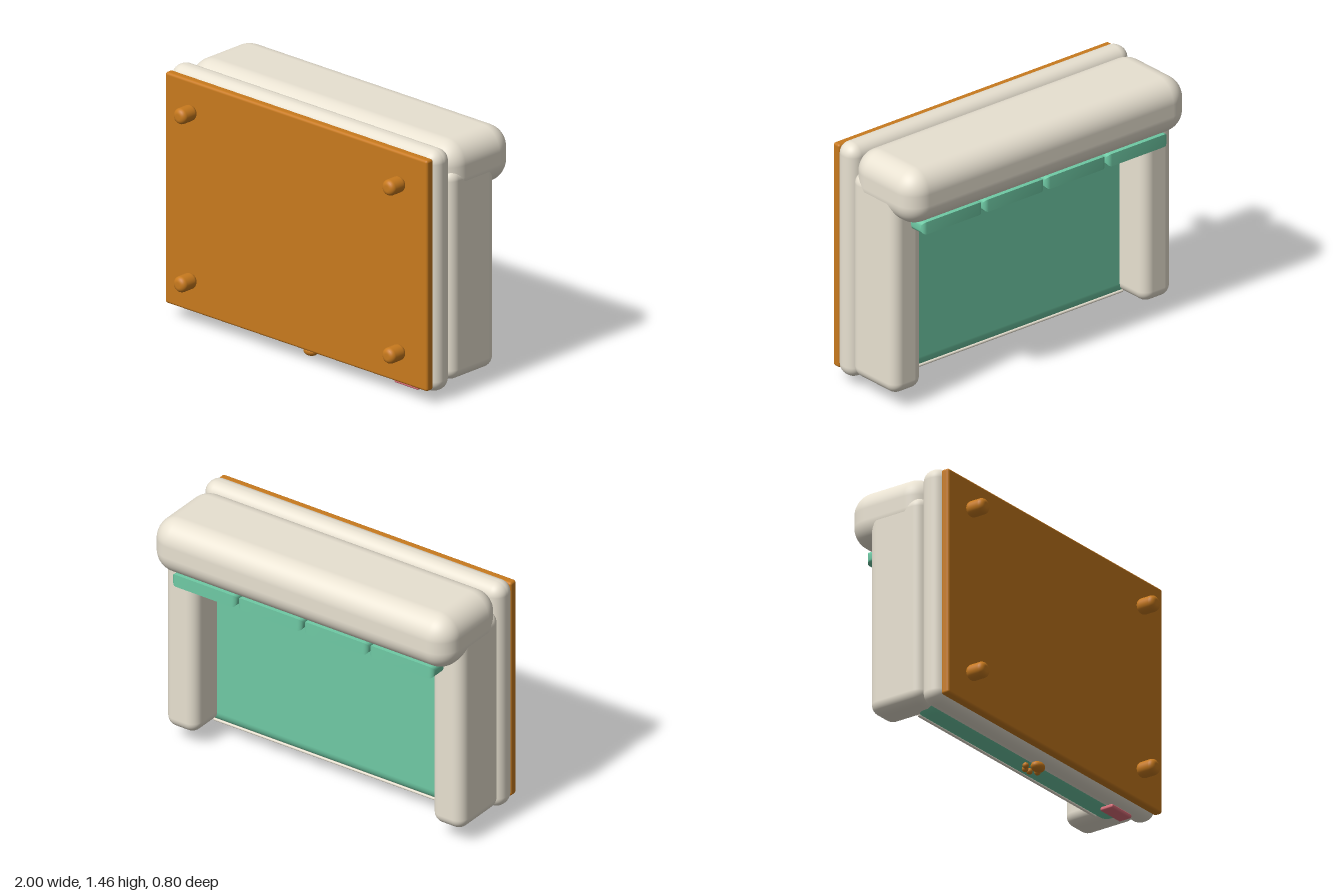
import * as THREE from 'three';
import { toCreasedNormals } from 'three/addons/utils/BufferGeometryUtils.js';
import { RoundedBoxGeometry } from 'three/addons/geometries/RoundedBoxGeometry.js';

// A sofa tipped onto its front: its underside faces +z, its seat faces -z.
export function createModel() {
  const model = new THREE.Group();
  const mat = (color) => new THREE.MeshStandardMaterial({ color });
  const cream = mat(0xe8e1d1), green = mat(0x6fcaa5), wood = mat(0xc87a1e), pink = mat(0xe0707c);

  const add = (name, geometry, material, x = 0, y = 0, z = 0) => {
    const mesh = new THREE.Mesh(geometry, material);
    mesh.name = name;
    mesh.position.set(x, y, z);
    model.add(mesh);
    return mesh;
  };
  // Rounded block given by its [min, max] on each axis
  const block = (name, [x0, x1], [y0, y1], [z0, z1], r, material) =>
    add(name, new RoundedBoxGeometry(x1 - x0, y1 - y0, z1 - z0, 6, r), material,
      (x0 + x1) / 2, (y0 + y1) / 2, (z0 + z1) / 2);

  // Frame and upholstery
  block('baseBoard', [-0.98, 0.98], [0.08, 1.43], [0.235, 0.288], 0.015, wood);
  block('body', [-1, 1], [0.05, 1.46], [0.1, 0.25], 0.07, cream);
  block('backrest', [-1, 1], [1.13, 1.46], [-0.4, 0.13], 0.13, cream);
  block('rightArm', [-0.998, -0.785], [0.085, 1.32], [-0.25, 0.12], 0.065, cream);
  block('leftArm', [0.785, 0.998], [0.085, 1.32], [-0.25, 0.12], 0.065, cream);
  block('seatCushion', [-0.89, 0.89], [0.065, 1.25], [-0.045, 0.16], 0.08, green);

  // Piping along the front edge of the seat
  const piping = add('seatPiping', new THREE.CapsuleGeometry(0.008, 1.61, 4, 10), cream, 0, 0.094, -0.041);
  piping.rotation.z = Math.PI / 2;

  // Four wedge-shaped back cushions, profile drawn in z and y
  const bevel = 0.028;
  const profile = new THREE.Shape([
    [-0.322, 1.093], [-0.25, 1.093], [0.02, 1.015], [0.02, 1.2], [-0.26, 1.2], [-0.27, 1.112], [-0.322, 1.112],
  ].map(([z, y]) => new THREE.Vector2(z, y)));
  const width = 0.43 - 2 * bevel;
  const wedge = toCreasedNormals(new THREE.ExtrudeGeometry(profile, {
    depth: width, bevelThickness: bevel, bevelSize: bevel, bevelSegments: 5,
  }).translate(0, 0, -width / 2).rotateY(-Math.PI / 2), 0.6);
  for (let i = 0; i < 4; i++) add('backCushion' + (i + 1), wedge, green, (i - 1.5) * 0.44);

  // Feet with rounded ends
  const r = 0.046, fillet = 0.03, half = 0.06;
  const outline = [];
  for (const end of [-1, 1]) {
    for (let i = 0; i <= 6; i++) {
      const a = (end < 0 ? i : 6 - i) / 6 * Math.PI / 2;
      outline.push(new THREE.Vector2(r - fillet + fillet * Math.sin(a),
        end * (half - fillet + fillet * Math.cos(a))));
    }
  }
  outline.unshift(new THREE.Vector2(0, -half));
  outline.push(new THREE.Vector2(0, half));
  const foot = new THREE.LatheGeometry(outline, 28).rotateX(Math.PI / 2);
  for (const x of [-0.78, 0.78]) for (const y of [0.265, 1.248]) add('foot', foot, wood, x, y, 0.338);

  // Small ornament on the front rail: one pad and four beads
  add('ornamentPad', new THREE.SphereGeometry(1, 24, 16), wood, 0, 0.03, 0.168).scale.set(0.046, 0.03, 0.036);
  const bead = new THREE.SphereGeometry(0.018, 16, 12);
  for (const s of [-1, 1]) {
    add('ornamentBead', bead, wood, s * 0.054, 0.03, 0.125);
    add('ornamentBead', bead, wood, s * 0.02, 0.03, 0.096);
  }

  // Fabric tag
  block('tag', [0.645, 0.825], [0.022, 0.047], [0.11, 0.195], 0.01, pink);

  return model;
}
